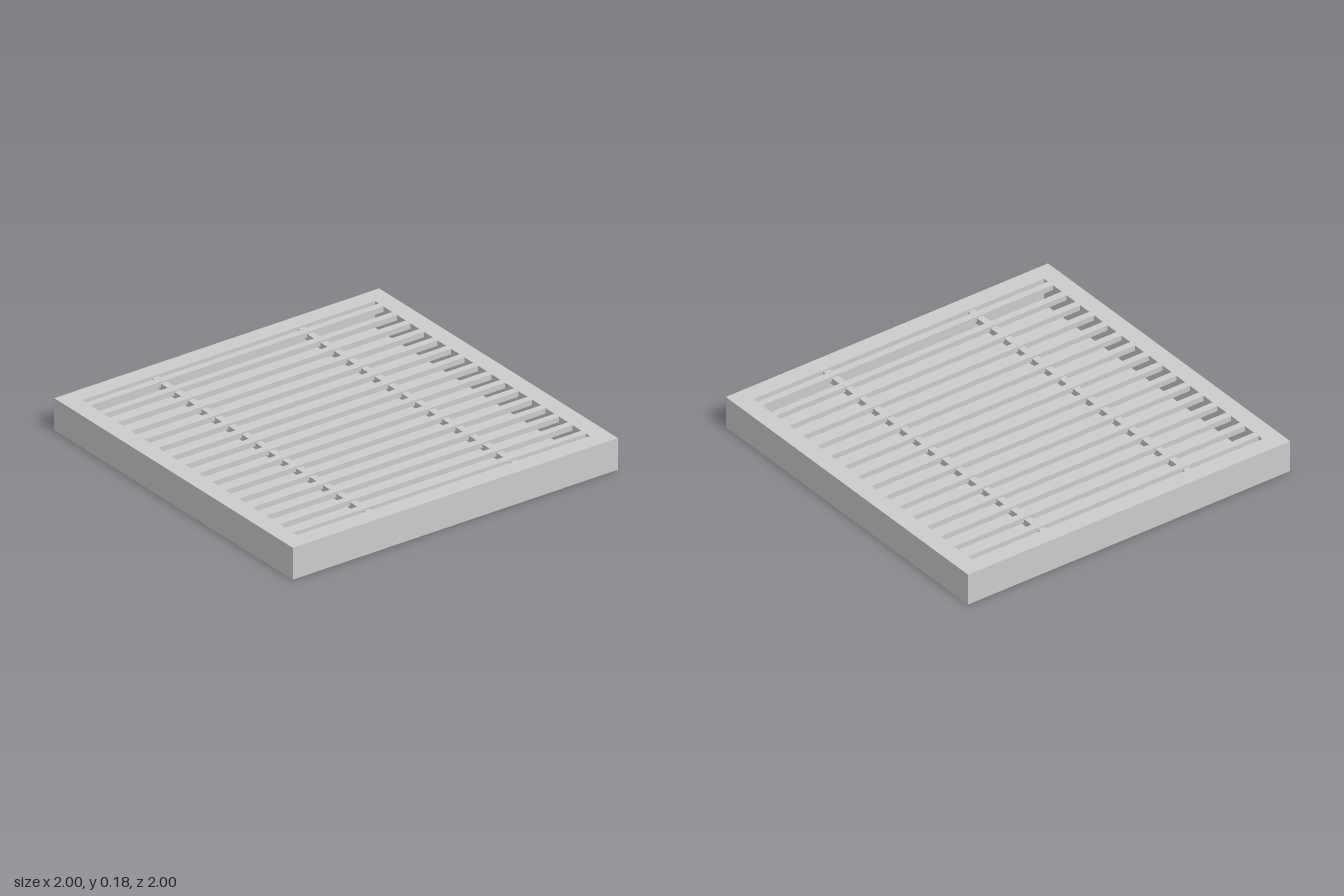
import * as THREE from 'three';

const SIZE = 2, HEIGHT = 0.178, OPENING = 1.803, FLOOR = 0.03;

export function createModel() {
  const model = new THREE.Group();
  model.name = 'slattedTray';
  const material = new THREE.MeshStandardMaterial({ color: 0xcccccc, flatShading: true });

  const add = (name, geometry, x, y, z) => {
    const mesh = new THREE.Mesh(geometry, material);
    mesh.name = name;
    mesh.position.set(x, y, z);
    model.add(mesh);
    return mesh;
  };

  // Square outline, used for the frame and its opening
  const square = (ShapeType, size) => {
    const h = size / 2;
    return new ShapeType([[-h, -h], [h, -h], [h, h], [-h, h]].map(([x, y]) => new THREE.Vector2(x, y)));
  };

  // Outer frame with a square opening
  const outline = square(THREE.Shape, SIZE);
  outline.holes.push(square(THREE.Path, OPENING));
  const frame = new THREE.ExtrudeGeometry(outline, { depth: HEIGHT, bevelEnabled: false });
  frame.rotateX(-Math.PI / 2);
  add('frame', frame, 0, 0, 0);

  // Closed floor of the tray
  add('floor', new THREE.BoxGeometry(OPENING, FLOOR, OPENING), 0, FLOOR / 2, 0);

  // Thin slats, flush with the top of the frame
  const slatCount = 16, pitch = 0.1133, thickness = 0.03;
  const slat = new THREE.BoxGeometry(OPENING, thickness, 0.04);
  for (let i = 0; i < slatCount; i++) {
    add('slat', slat, 0, HEIGHT - thickness / 2, (i - (slatCount - 1) / 2) * pitch);
  }

  // Two cross bars that carry the slats
  const bar = new THREE.BoxGeometry(0.038, 0.035, OPENING);
  for (const side of [-1, 1]) add('crossBar', bar, side * 0.45, HEIGHT - 0.0275, 0);

  return model;
}
